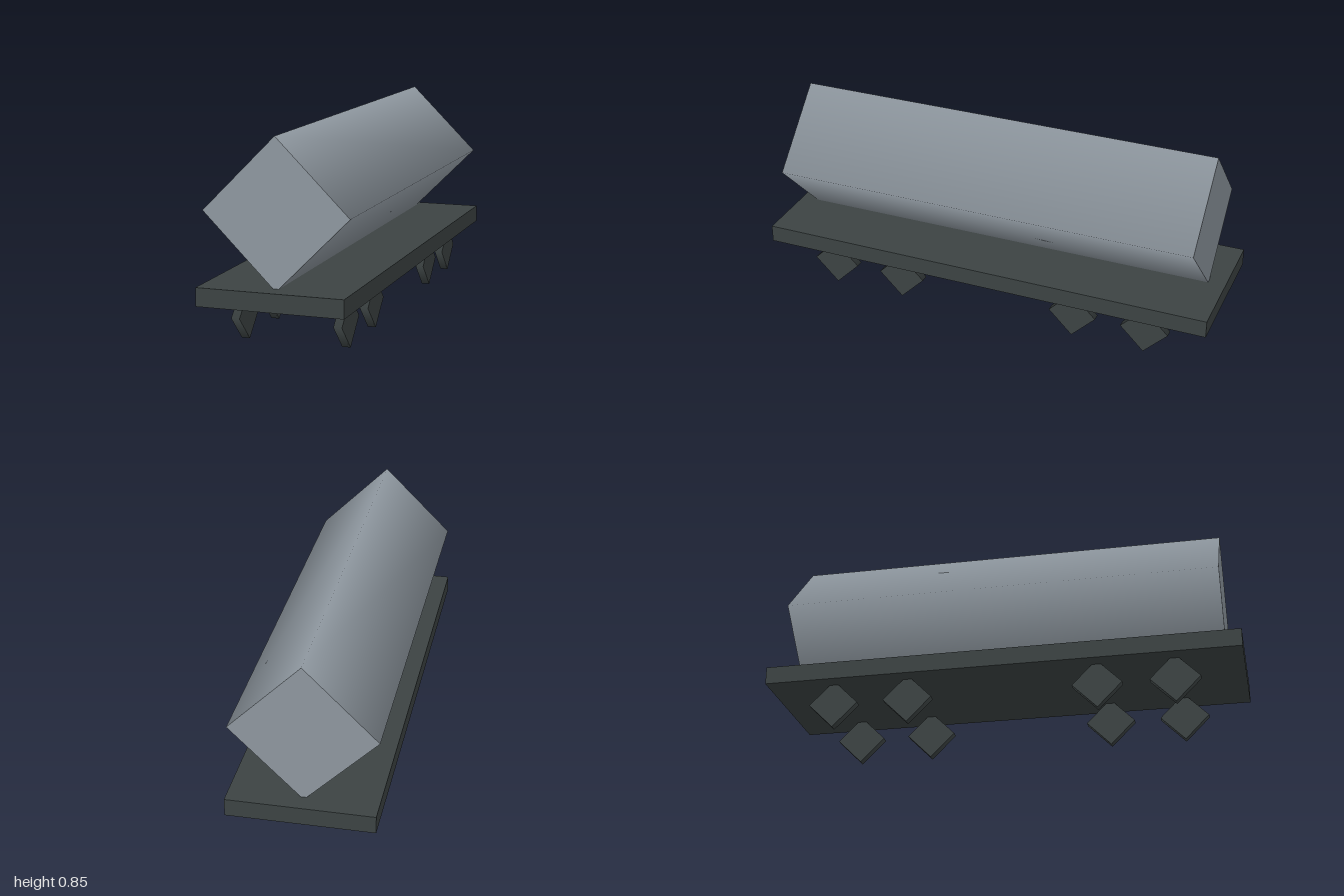
import * as THREE from 'three';

export function createModel() {
  const model = new THREE.Group();
  model.name = 'tankWagon';

  const tankGrey = new THREE.MeshStandardMaterial({ color: 0x8e979f });
  tankGrey.name = 'tankGrey';
  const darkIron = new THREE.MeshStandardMaterial({ color: 0x3c4343 });
  darkIron.name = 'darkIron';

  const add = (name, geometry, material, x, y, z) => {
    const mesh = new THREE.Mesh(geometry, material);
    mesh.name = name;
    mesh.position.set(x, y, z);
    model.add(mesh);
  };

  // Four-sided tank with smooth shading, resting on its lower edge
  const tank = new THREE.CylinderGeometry(0.299, 0.299, 1.85, 4).rotateX(Math.PI / 2);
  add('tank', tank, tankGrey, 0, 0.551, 0);

  // Flat deck
  add('deck', new THREE.BoxGeometry(0.6, 0.075, 2), darkIron, 0, 0.2265, 0);

  // Four-sided wheels in two pairs of axles
  const wheel = new THREE.CylinderGeometry(0.104, 0.104, 0.035, 4).rotateZ(Math.PI / 2);
  for (const z of [0.72, 0.4, -0.4, -0.72]) {
    for (const side of [1, -1]) {
      add(side > 0 ? 'leftWheel' : 'rightWheel', wheel, darkIron, side * 0.2125, 0.104, z);
    }
  }

  return model;
}
